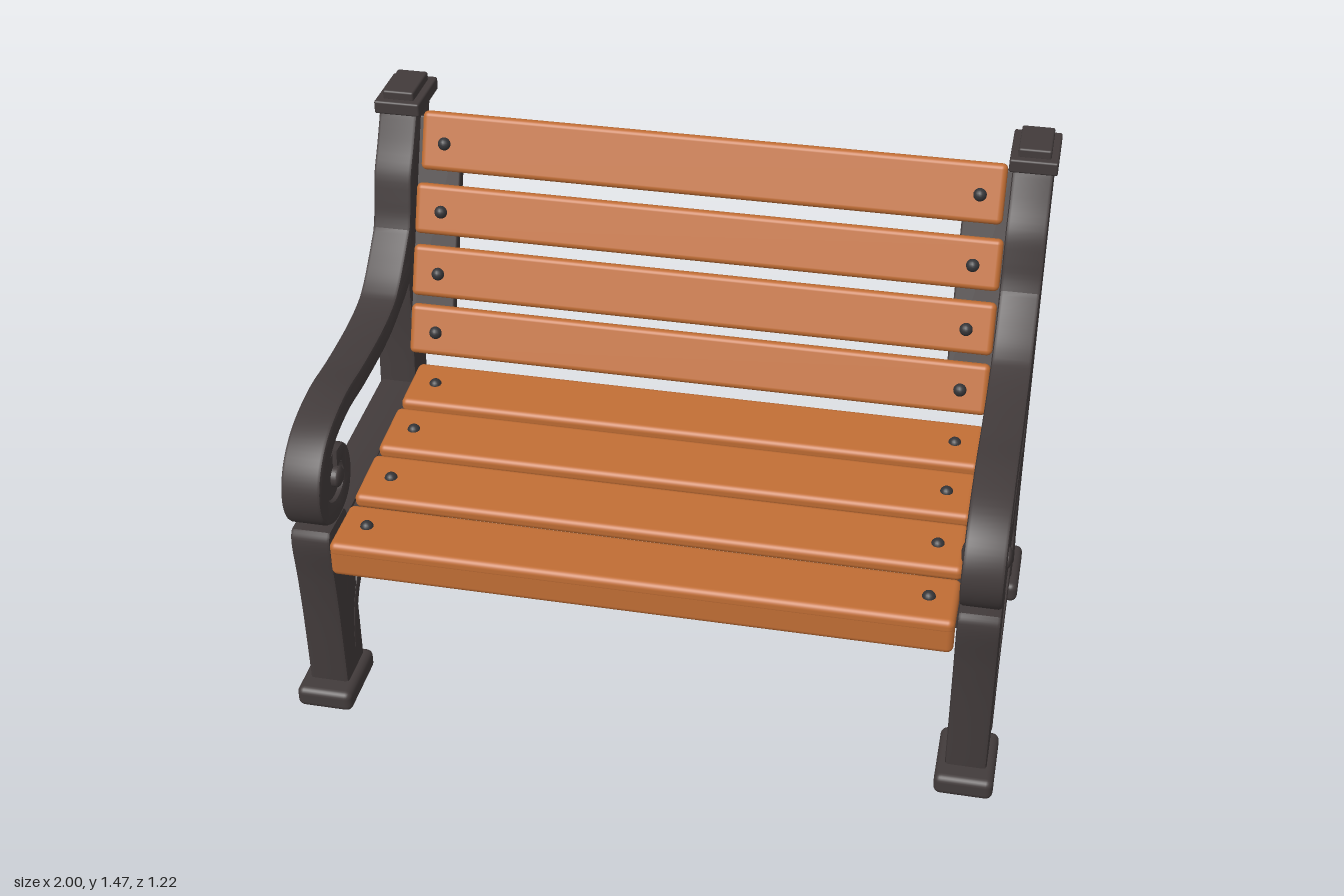
import * as THREE from 'three';
import { toCreasedNormals } from 'three/addons/utils/BufferGeometryUtils.js';
import { RoundedBoxGeometry } from 'three/addons/geometries/RoundedBoxGeometry.js';

function flat(name, color) {
  const material = new THREE.MeshStandardMaterial({ color });
  material.name = name;
  return material;
}
const iron = flat('cast iron', 0x423b3b);
const wood = flat('wood', 0xc06d34);
const darkWood = flat('dark wood underside', 0x6b3c1e);
const steel = flat('bolt steel', 0x343437);

function add(parent, name, geometry, material, x = 0, y = 0, z = 0, rx = 0) {
  const mesh = new THREE.Mesh(geometry, material);
  mesh.name = name;
  mesh.position.set(x, y, z);
  mesh.rotation.x = rx;
  parent.add(mesh);
  return mesh;
}

// Smooth curve through [z, y] points
function smooth(points, n = 40) {
  const curve = new THREE.CatmullRomCurve3(points.map(([a, b]) => new THREE.Vector3(a, b, 0)), false, 'centripetal');
  return curve.getPoints(n).map((p) => [p.x, p.y]);
}

// Extrude a [z, y] outline across x, centred on x = 0
function profile(outline, width, bevel = 0.01) {
  const shape = new THREE.Shape(outline.map(([a, b]) => new THREE.Vector2(a, b)));
  const geometry = new THREE.ExtrudeGeometry(shape, {
    depth: width - 2 * bevel, bevelEnabled: true, bevelThickness: bevel,
    bevelSize: bevel, bevelOffset: -bevel, bevelSegments: 2,
  });
  geometry.translate(0, 0, bevel - width / 2);
  geometry.rotateY(-Math.PI / 2);
  return toCreasedNormals(geometry, 0.6);
}

// Outline of a band following a centre line, half(t) being its half thickness
function band(points, half, n) {
  const c = smooth(points, n);
  const left = [], right = [];
  c.forEach(([a, b], i) => {
    const p = c[Math.max(i - 1, 0)], q = c[Math.min(i + 1, n)];
    const dx = q[0] - p[0], dy = q[1] - p[1], k = half(i / n) / Math.hypot(dx, dy);
    left.push([a - dy * k, b + dx * k]);
    right.push([a + dy * k, b - dx * k]);
  });
  return [...left, ...right.reverse()];
}

function createSideFrame() {
  const frame = new THREE.Group();

  // Rear post, swept back at top and bottom
  const postFront = smooth([[-0.43, 1.41], [-0.38, 1.32], [-0.337, 1.25], [-0.317, 1.18], [-0.303, 1.125],
    [-0.278, 1.065], [-0.255, 1.0], [-0.248, 0.75], [-0.236, 0.585], [-0.232, 0.523], [-0.256, 0.4],
    [-0.275, 0.264], [-0.318, 0.128], [-0.322, 0.05]], 50);
  const postBack = smooth([[-0.457, 0.05], [-0.453, 0.112], [-0.403, 0.244], [-0.364, 0.4], [-0.353, 0.554],
    [-0.372, 0.748], [-0.403, 0.94], [-0.441, 1.135], [-0.471, 1.245], [-0.527, 1.325], [-0.57, 1.41]]);
  add(frame, 'rearPost', profile([...postFront, ...postBack], 0.115), iron);
  add(frame, 'postCap', new RoundedBoxGeometry(0.135, 0.04, 0.195, 2, 0.006), iron, 0, 1.42, -0.512);
  add(frame, 'postCapTop', new RoundedBoxGeometry(0.092, 0.03, 0.15, 2, 0.006), iron, 0, 1.45, -0.512);

  // Front leg
  const legFront = smooth([[0.546, 0.05], [0.554, 0.32], [0.562, 0.44], [0.574, 0.585], [0.56, 0.612]], 20);
  add(frame, 'frontLeg', profile([...legFront, [0.435, 0.612], [0.42, 0.59], [0.418, 0.51], [0.402, 0.42],
    [0.402, 0.05]], 0.115), iron);

  // Feet
  for (const [name, z] of [['frontFoot', 0.495], ['rearFoot', -0.388]]) {
    add(frame, name, new RoundedBoxGeometry(0.163, 0.065, 0.222, 3, 0.02), iron, 0, 0.0325, z);
  }

  // Seat rail, recessed panel and arched rib
  add(frame, 'seatRail', profile([[0.44, 0.572], [-0.26, 0.595], [-0.26, 0.53], [0.44, 0.503]], 0.11), iron);
  const arch = smooth([[-0.3, 0.16], [-0.21, 0.27], [-0.125, 0.345], [-0.015, 0.39], [0.178, 0.39],
    [0.295, 0.36], [0.375, 0.31], [0.41, 0.23]], 30);
  add(frame, 'sidePanel', profile([[0.43, 0.55], [-0.27, 0.56], ...arch], 0.08, 0.004), iron);
  const rib = band([[0.457, 0.13], [0.434, 0.244], [0.388, 0.322], [0.295, 0.376], [0.178, 0.402],
    [-0.015, 0.402], [-0.124, 0.362], [-0.229, 0.264], [-0.349, 0.112]],
  (t) => 0.014 + 0.009 * Math.sin(Math.PI * t), 48);
  add(frame, 'archRib', profile(rib, 0.121, 0.008), iron);

  // Armrest ending in a scroll
  const arm = band([[-0.33, 1.045], [-0.25, 0.985], [-0.18, 0.943], [-0.1, 0.914], [0, 0.898], [0.18, 0.892],
    [0.34, 0.895], [0.48, 0.862], [0.55, 0.805], [0.574, 0.735], [0.548, 0.67], [0.477, 0.64], [0.405, 0.66],
    [0.38, 0.72], [0.402, 0.777], [0.452, 0.787]],
  (t) => 0.033 + 0.03 * Math.max(0, 1 - t * 6) - 0.008 * Math.max(0, t * 5 - 4), 90);
  add(frame, 'armrest', profile(arm, 0.113), iron);
  const disc = (r, w) => new THREE.CylinderGeometry(r, r, w, 28).rotateZ(Math.PI / 2);
  add(frame, 'scrollWeb', disc(0.07, 0.085), iron, 0, 0.729, 0.453);
  add(frame, 'scrollHub', disc(0.03, 0.11), iron, 0, 0.729, 0.453);
  for (const s of [-1, 1]) {
    const knob = new THREE.SphereGeometry(0.03, 20, 12).scale(0.4, 1, 1);
    add(frame, 'scrollKnob', knob, iron, s * 0.055, 0.729, 0.453);
  }
  return frame;
}

export function createModel() {
  const bench = new THREE.Group();
  bench.name = 'bench';

  const tiltBack = -0.365, tiltSeat = 0.068;
  for (const s of [-1, 1]) {
    const frame = createSideFrame();
    frame.name = s > 0 ? 'leftFrame' : 'rightFrame';
    frame.position.x = s * 0.918;
    bench.add(frame);

    // Iron plates that carry the slats
    add(bench, 'backPlate', new RoundedBoxGeometry(0.135, 0.61, 0.036, 2, 0.006), iron,
      s * 0.8, 1.093, -0.369, tiltBack);
    add(bench, 'seatPlate', profile([[0.47, 0.56], [-0.28, 0.6], [-0.28, 0.535], [-0.24, 0.515],
      [0.42, 0.465], [0.47, 0.485]], 0.135, 0.006), iron, s * 0.8);
  }

  // Box face order is +x, -x, +y, -y, +z, -z
  const darkBelow = [wood, wood, wood, darkWood, wood, wood];
  const darkBehind = [wood, wood, wood, wood, wood, darkWood];

  function bolts(y, z, rx) {
    for (const s of [-1, 1]) {
      add(bench, 'bolt', new THREE.SphereGeometry(0.019, 16, 12), steel, s * 0.778, y, z, rx);
    }
  }

  // Back slats: centre y, centre z, height, length
  for (const [y, z, h, w] of [[0.798, -0.229, 0.149, 1.715], [0.965, -0.289, 0.152, 1.715],
    [1.137, -0.355, 0.149, 1.715], [1.323, -0.429, 0.172, 1.695]]) {
    add(bench, 'backSlat', new RoundedBoxGeometry(w, h, 0.038, 4, 0.016), darkBehind, 0, y, z, tiltBack);
    bolts(y + 0.002, z + 0.019, tiltBack);
  }

  // Seat slats
  for (const [y, z] of [[0.589, 0.272], [0.605, 0.048], [0.62, -0.176]]) {
    add(bench, 'seatSlat', new RoundedBoxGeometry(1.715, 0.045, 0.199, 4, 0.018), darkBelow, 0, y, z, tiltSeat);
    bolts(y + 0.018, z, tiltSeat);
  }

  // Front slat with a turned-down lip
  add(bench, 'frontSlat', new RoundedBoxGeometry(1.715, 0.045, 0.197, 4, 0.018), darkBelow, 0, 0.579, 0.498);
  add(bench, 'frontSlatLip', new RoundedBoxGeometry(1.715, 0.108, 0.04, 4, 0.018), darkBehind, 0, 0.547, 0.576);
  bolts(0.599, 0.495, 0);

  return bench;
}
